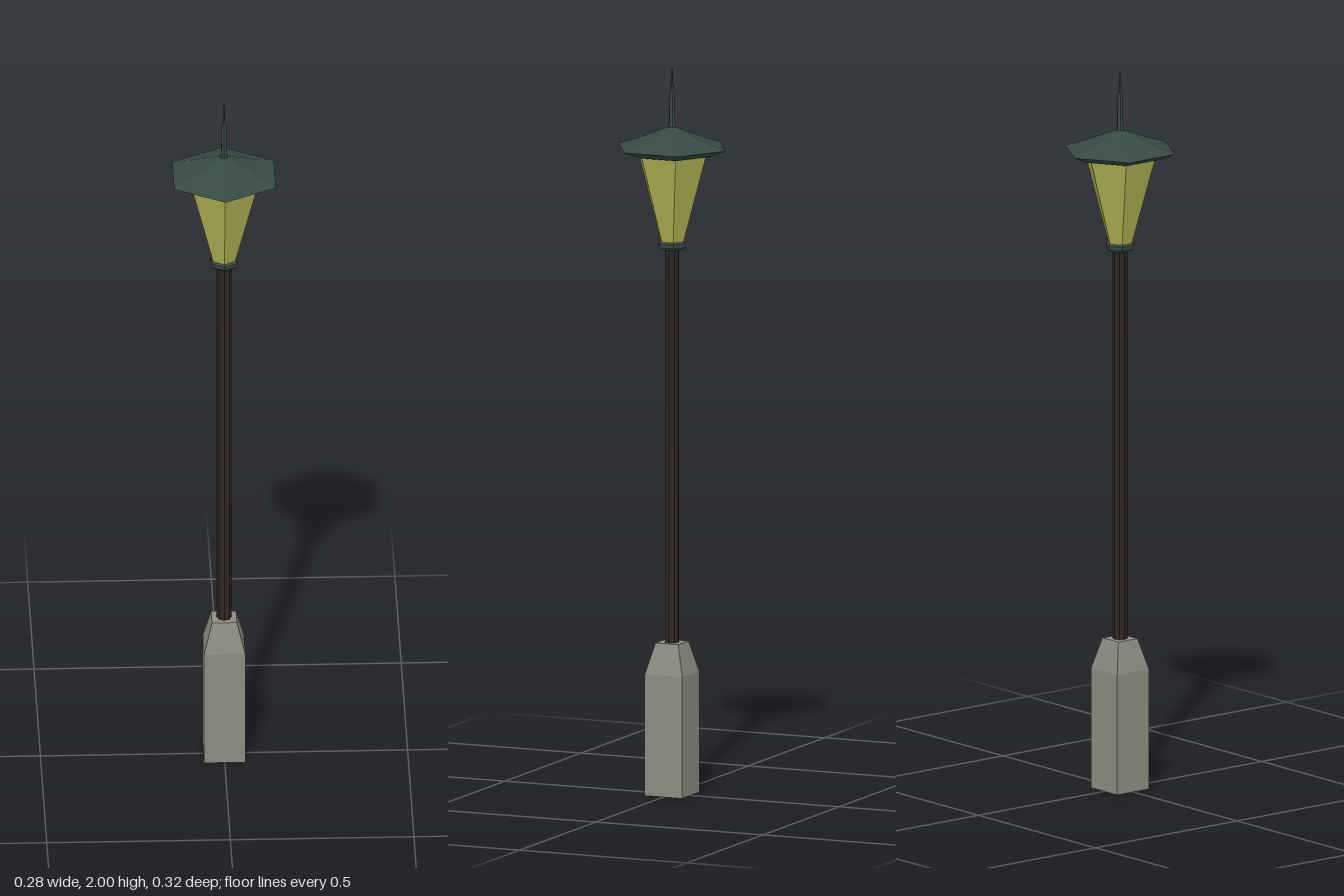
import * as THREE from 'three';

// Faceted solid of revolution; profile is [radius, y] from bottom to top.
function turned(name, color, sides, profile, turn = 0) {
  const geometry = new THREE.LatheGeometry(profile.map(([r, y]) => new THREE.Vector2(r, y)), sides, turn);
  const mesh = new THREE.Mesh(geometry, new THREE.MeshStandardMaterial({ color, flatShading: true }));
  mesh.name = name;
  return mesh;
}

export function createModel() {
  const lamp = new THREE.Group();
  lamp.name = 'streetLamp';
  const stone = 0x8c8c80, iron = 0x2e2723, roofGreen = 0x364a44, glass = 0xb2b253;
  const d = Math.SQRT2; // half side to corner radius of the square plinth

  lamp.add(
    // square stone plinth with a tapered top
    turned('plinth', stone, 4, [[0, 0], [0.056 * d, 0], [0.056 * d, 0.335], [0.034 * d, 0.42], [0, 0.42]], Math.PI / 4),
    // slim post
    turned('post', iron, 8, [[0.02, 0.41], [0.02, 1.51]]),
    // collar under the lantern
    turned('collar', roofGreen, 6, [[0, 1.505], [0.035, 1.505], [0.041, 1.512], [0.041, 1.522], [0.034, 1.527], [0, 1.527]]),
    // flared six-sided glass
    turned('lanternGlass', glass, 6, [[0.034, 1.525], [0.104, 1.775]]),
    // wide roof with a sloping underside
    turned('roof', roofGreen, 6, [[0, 1.767], [0.115, 1.767], [0.16, 1.786], [0.1, 1.806], [0, 1.846]]),
    // stepped spike
    turned('finial', roofGreen, 6, [[0.012, 1.835], [0.009, 1.855], [0.007, 1.94], [0.004, 1.945], [0.003, 2], [0, 2]]),
  );
  return lamp;
}
